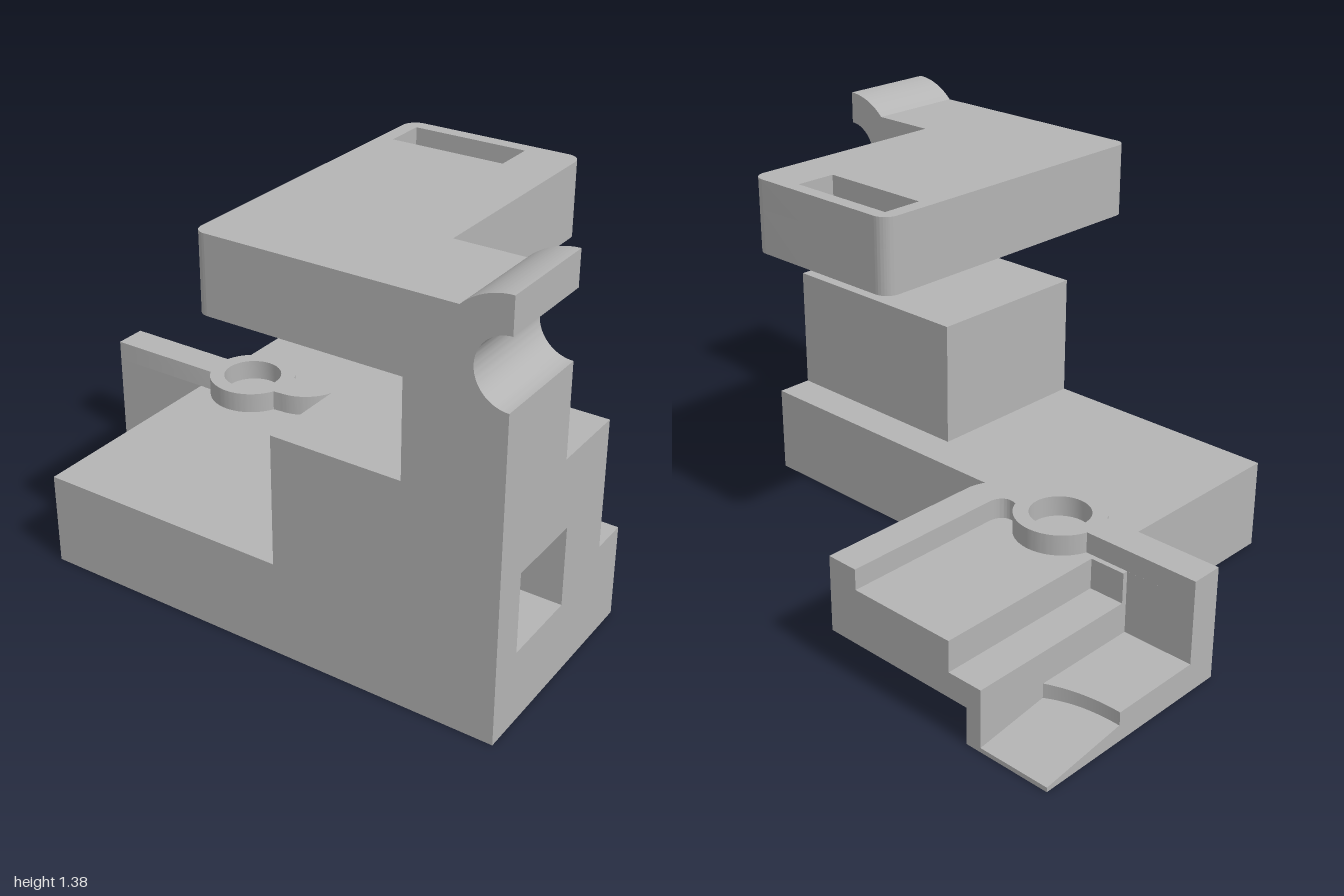
import * as THREE from 'three';
import { toCreasedNormals } from 'three/addons/utils/BufferGeometryUtils.js';

const grey = new THREE.MeshStandardMaterial({ color: 0xb4b4b4 });
grey.name = 'plain grey';

const polygon = (pts) => new THREE.Shape(pts.map(([a, b]) => new THREE.Vector2(a, b)));

const rectangle = (a0, b0, a1, b1) => polygon([[a0, b0], [a1, b0], [a1, b1], [a0, b1]]);

const circle = (a, b, r) => new THREE.Path().absarc(a, b, r, 0, Math.PI * 2, false);

export function createModel() {
  const model = new THREE.Group();
  model.name = 'clampBracket';

  const add = (name, geometry) => {
    const mesh = new THREE.Mesh(geometry, grey);
    mesh.name = name;
    model.add(mesh);
  };
  const extrude = (shape, depth) =>
    new THREE.ExtrudeGeometry(shape, { depth, bevelEnabled: false, curveSegments: 24 });
  const box = (name, x0, x1, y0, y1, z0, z1) => {
    const g = new THREE.BoxGeometry(x1 - x0, y1 - y0, z1 - z0);
    add(name, g.translate((x0 + x1) / 2, (y0 + y1) / 2, (z0 + z1) / 2));
  };
  // Plan outline drawn in (x, -z), raised from y0 to y1
  const plan = (name, shape, y0, y1) =>
    add(name, toCreasedNormals(extrude(shape, y1 - y0).rotateX(-Math.PI / 2).translate(0, y0, 0), 0.5));
  // Side outline drawn in (z, y), running from x0 to x1
  const side = (name, shape, x0, x1) =>
    add(name, toCreasedNormals(extrude(shape, x1 - x0).rotateY(-Math.PI / 2).translate(x1, 0, 0), 0.5));

  // Base and stepped block, with a blind square socket in the right end
  box('base', -0.625, 0.5, 0, 0.315, 0, 0.75);
  box('block', 0.25, 0.5, 0.315, 0.75, 0.13, 0.75);
  const end = polygon([[0, 0], [0.75, 0], [0.75, 0.75], [0.13, 0.75], [0.13, 0.315], [0, 0.315]]);
  end.holes.push(rectangle(0.365, 0.245, 0.635, 0.51));
  side('socketEnd', end, 0.5, 1);

  // Column and arm with a half-round channel and a curved collar above it
  const column = new THREE.Shape();
  column.moveTo(0.685, 0.75);
  column.lineTo(1, 0.75);
  column.lineTo(1, 1.053);
  column.absarc(1, 1.16, 0.107, -Math.PI / 2, Math.PI / 2, true);
  column.lineTo(1, 1.378);
  column.absarc(1, 1.16, 0.218, Math.PI / 2, Math.PI - Math.asin(0.155 / 0.218), false);
  column.lineTo(0.62, 1.315);
  column.lineTo(0.62, 1.065);
  column.lineTo(0.685, 1.065);
  add('column', toCreasedNormals(extrude(column, 0.35).translate(0, 0, 0.4), 0.5));

  // Overhanging slab with rounded corners and a shallow slot
  const slabOutline = () => {
    const s = new THREE.Shape();
    s.moveTo(0.04, -0.75);
    s.lineTo(0.62, -0.75);
    s.lineTo(0.62, 0.325);
    s.absarc(0.57, 0.325, 0.05, 0, Math.PI / 2, false);
    s.lineTo(0.05, 0.375);
    s.absarc(0.05, 0.325, 0.05, Math.PI / 2, Math.PI, false);
    s.lineTo(0, -0.71);
    s.absarc(0.04, -0.71, 0.04, Math.PI, Math.PI * 1.5, false);
    return s;
  };
  plan('slabLower', slabOutline(), 1.065, 1.215);
  const slabUpper = slabOutline();
  slabUpper.holes.push(rectangle(0.05, 0.187, 0.445, 0.328));
  plan('slabUpper', slabUpper, 1.215, 1.315);

  // Tray body: notched underside with a blind pin hole, then two steps
  const foot = polygon([[-0.127, 0], [-0.127, 0.437], [-0.695, 0.437], [-0.695, 0.75], [-0.75, 0.75], [-0.75, 0]]);
  foot.holes.push(circle(-0.51, 0.24, 0.05));
  plan('trayFoot', foot, 0, 0.125);
  box('trayLowerStep', -0.75, -0.127, 0.125, 0.21, -0.75, 0);
  box('trayUpperStep', -0.625, -0.127, 0.21, 0.315, -0.75, 0);
  box('trayStepEnd', -0.75, -0.625, 0.21, 0.315, -0.13, 0);
  box('trayWall', -1, -0.75, 0, 0.315, -0.112, 0);

  // Low sloping ledge and its curved pad
  side('ledge', polygon([[-0.75, 0], [-0.112, 0], [-0.112, 0.055], [-0.45, 0.055], [-0.75, 0.015]]), -1, -0.75);
  const pad = new THREE.Shape();
  pad.moveTo(-1, 0.112);
  pad.lineTo(-0.75, 0.112);
  pad.lineTo(-0.75, 0.487);
  pad.quadraticCurveTo(-0.86, 0.435, -1, 0.44);
  plan('ledgePad', pad, 0.03, 0.1);

  // Raised rim joining the wall, the ring boss and the right edge
  const rim = new THREE.Shape();
  rim.moveTo(-1, 0);
  rim.lineTo(-0.58, 0);
  rim.absarc(-0.445, 0.07, 0.15, -2.66, -0.43, false);
  rim.lineTo(-0.28, 0.01);
  rim.absarc(-0.28, 0.163, 0.153, -Math.PI / 2, 0, false);
  rim.lineTo(-0.127, 0.75);
  rim.lineTo(-0.24, 0.75);
  rim.lineTo(-0.24, 0.17);
  rim.quadraticCurveTo(-0.25, 0.11, -0.307, 0.128);
  rim.absarc(-0.445, 0.07, 0.15, 0.4, 2.86, false);
  rim.lineTo(-1, 0.112);
  rim.holes.push(circle(-0.445, 0.07, 0.1));
  plan('trayRim', rim, 0.315, 0.385);

  return model;
}
